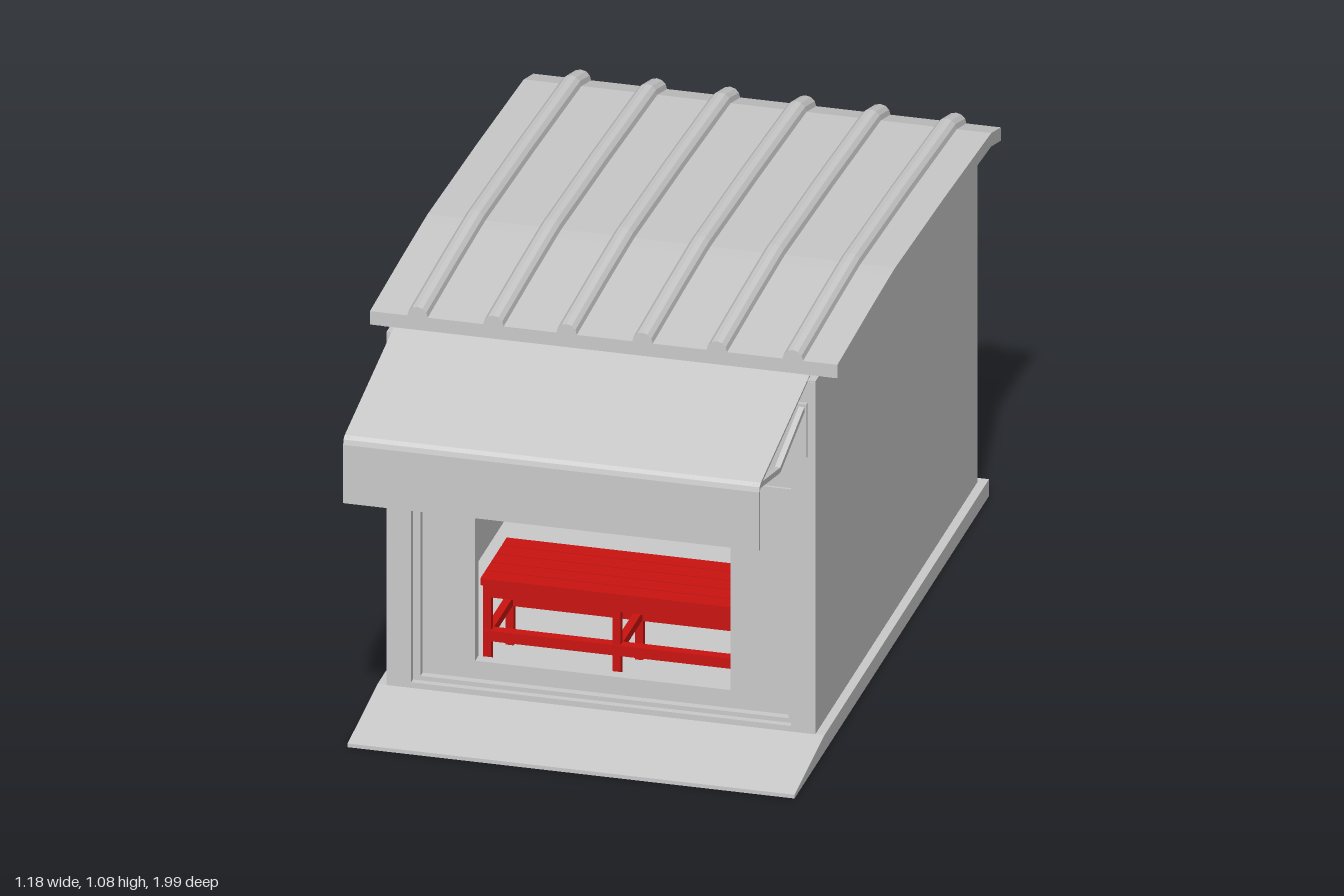
import * as THREE from 'three';

const grey = new THREE.MeshStandardMaterial({ color: 0xcccccc });
const red = new THREE.MeshStandardMaterial({ color: 0xcc1410 });
const corkMat = new THREE.MeshStandardMaterial({ color: 0xb08a2e });

function add(parent, name, geometry, material = grey) {
  const mesh = new THREE.Mesh(geometry, material);
  mesh.name = name;
  parent.add(mesh);
  return mesh;
}

// Box given by its minimum and maximum corners
function block(parent, name, x0, x1, y0, y1, z0, z1, material) {
  const g = new THREE.BoxGeometry(x1 - x0, y1 - y0, z1 - z0);
  g.translate((x0 + x1) / 2, (y0 + y1) / 2, (z0 + z1) / 2);
  return add(parent, name, g, material);
}

// Square bar between two points
function bar(parent, name, a, b, t) {
  const from = new THREE.Vector3(...a), to = new THREE.Vector3(...b);
  const mesh = add(parent, name, new THREE.BoxGeometry(t, t, from.distanceTo(to)));
  mesh.position.copy(from).add(to).multiplyScalar(0.5);
  mesh.lookAt(to);
}

// (z, y) outline extruded across the width from x0 to x1
function sideProfile(points, x0, x1) {
  const shape = new THREE.Shape(points.map(p => new THREE.Vector2(...p)));
  const g = new THREE.ExtrudeGeometry(shape, { depth: x1 - x0, bevelEnabled: false });
  return g.rotateY(-Math.PI / 2).translate(x1, 0, 0);
}

// Flat panel with a rectangular opening; each rectangle is [x0, x1, y0, y1]
function framePanel(parent, name, outer, inner, z0, z1) {
  const corners = ([x0, x1, y0, y1]) =>
    [[x0, y0], [x1, y0], [x1, y1], [x0, y1]].map(p => new THREE.Vector2(...p));
  const shape = new THREE.Shape(corners(outer));
  shape.holes.push(new THREE.Path(corners(inner).reverse()));
  const g = new THREE.ExtrudeGeometry(shape, { depth: z1 - z0, bevelEnabled: false });
  add(parent, name, g.translate(0, 0, z0));
}

// Underside height of the roof along z
function roofHeight(z) {
  const pts = [[-0.99, 0.955], [-0.9, 0.98], [-0.45, 1.003], [0, 1.02], [0.25, 1.012], [0.53, 1.0]];
  for (let i = 1; i < pts.length; i++) {
    const [za, ya] = pts[i - 1], [zb, yb] = pts[i];
    if (z <= zb) return ya + (yb - ya) * (z - za) / (zb - za);
  }
  return 1.0;
}

// Ribbed sheet, extruded along z and bent to the roof curve
function roofGeometry() {
  const t = 0.036, r = 0.026;
  const s = new THREE.Shape();
  s.moveTo(-0.592, 0);
  s.lineTo(0.59, 0);
  s.lineTo(0.59, t);
  for (const x of [0.477, 0.285, 0.097, -0.095, -0.28, -0.472]) {
    for (let i = 0; i <= 6; i++) {
      const a = Math.PI * i / 6;
      s.lineTo(x + r * Math.cos(a), t + r * Math.sin(a));
    }
  }
  s.lineTo(-0.592, t);
  const g = new THREE.ExtrudeGeometry(s, { depth: 1.52, steps: 34, bevelEnabled: false });
  g.translate(0, 0, -0.99);
  const p = g.attributes.position;
  for (let i = 0; i < p.count; i++) p.setY(i, p.getY(i) + roofHeight(p.getZ(i)));
  g.computeVertexNormals();
  return g;
}

// Bottle with a cork, round flask or shouldered jug
function bottle(parent, x, y, z, round, scale = 1) {
  const profile = round
    ? [[0, 0], [0.02, 0], [0.029, 0.012], [0.032, 0.027], [0.027, 0.043], [0.014, 0.056], [0.009, 0.068], [0.008, 0.09], [0.011, 0.092], [0.011, 0.096], [0, 0.096]]
    : [[0, 0], [0.022, 0], [0.027, 0.034], [0.025, 0.04], [0.012, 0.054], [0.009, 0.062], [0.009, 0.08], [0.012, 0.082], [0.012, 0.087], [0, 0.087]];
  const g = new THREE.Group();
  g.name = round ? 'roundBottle' : 'jugBottle';
  add(g, 'glass', new THREE.LatheGeometry(profile.map(p => new THREE.Vector2(...p)), 16), red);
  const top = round ? 0.096 : 0.087;
  add(g, 'cork', new THREE.CylinderGeometry(0.007, 0.006, 0.012, 10), corkMat).position.y = top + 0.003;
  g.position.set(x, y, z);
  g.scale.setScalar(scale);
  parent.add(g);
}

export function createModel() {
  const model = new THREE.Group();
  model.name = 'shopStall';

  // Foundation slab with its entrance ramp
  add(model, 'foundation', sideProfile(
    [[-0.98, 0], [0.83, 0], [0.83, 0.01], [0.55, 0.045], [-0.98, 0.045]], -0.567, 0.563));

  // Walls, lower towards the back
  const wallOutline = [[-0.955, 0.045], [0.55, 0.045], [0.55, 0.995], [-0.955, 0.965]];
  add(model, 'rightWall', sideProfile(wallOutline, -0.545, -0.515));
  add(model, 'leftWall', sideProfile(wallOutline, 0.51, 0.54));
  block(model, 'backWall', -0.515, 0.51, 0.045, 0.965, -0.955, -0.925);

  // Shop front, stepping inwards to the serving window
  const front = new THREE.Group();
  front.name = 'shopFront';
  model.add(front);
  framePanel(front, 'outerFrame', [-0.543, 0.538, 0.045, 0.99], [-0.482, 0.478, 0.06, 0.735], 0.5, 0.552);
  framePanel(front, 'middleFrame', [-0.482, 0.478, 0.046, 0.735], [-0.463, 0.468, 0.072, 0.63], 0.49, 0.535);
  framePanel(front, 'windowWall', [-0.463, 0.468, 0.07, 0.632], [-0.33, 0.315, 0.12, 0.615], 0.485, 0.515);
  block(front, 'lintel', -0.482, 0.478, 0.66, 0.692, 0.53, 0.542);
  block(front, 'windowHeader', -0.33, 0.315, 0.595, 0.615, 0.485, 0.505);

  // Roof and eave beam
  add(model, 'roof', roofGeometry());
  block(model, 'eaveBeam', -0.575, 0.57, 0.973, 1.003, 0.445, 0.475);

  // Awning: thin sloping sheet with a hanging valance
  const awning = new THREE.Group();
  awning.name = 'awning';
  model.add(awning);
  add(awning, 'canopy', sideProfile(
    [[0.53, 1.0], [0.985, 0.915], [0.997, 0.908], [1, 0.895], [1, 0.738], [0.994, 0.738], [0.994, 0.895], [0.98, 0.908], [0.53, 0.994]],
    -0.532, 0.52));
  for (const x of [-0.518, 0.508]) {
    bar(awning, 'innerArm', [x, 0.922, 0.555], [x, 0.858, 0.785], 0.014);
    bar(awning, 'outerArm', [x, 0.858, 0.785], [x, 0.905, 0.993], 0.014);
    block(awning, 'armMount', x - 0.012, x + 0.012, 0.79, 0.935, 0.55, 0.562);
  }

  // Slatted serving table with six legs
  const table = new THREE.Group();
  table.name = 'servingTable';
  model.add(table);
  for (let i = 0; i < 5; i++) {
    const z = 0.222 + i * 0.05;
    block(table, 'topSlat', -0.33, 0.36, 0.302, 0.32, z, z + 0.045, red);
  }
  for (const z of [0.24, 0.45]) {
    block(table, 'apron', -0.325, 0.355, 0.27, 0.301, z - 0.013, z + 0.013, red);
    block(table, 'lowerRail', -0.325, 0.355, 0.152, 0.18, z - 0.013, z + 0.013, red);
    for (const x of [-0.315, 0.012, 0.34]) block(table, 'leg', x - 0.01, x + 0.01, -0.001, 0.3, z - 0.01, z + 0.01, red);
  }
  for (const x of [-0.315, 0.012, 0.34]) {
    block(table, 'crossRail', x - 0.01, x + 0.01, 0.155, 0.177, 0.24, 0.45, red);
    block(table, 'topCrossRail', x - 0.01, x + 0.01, 0.275, 0.3, 0.24, 0.45, red);
  }

  // Bottle rack against the back wall
  const rack = new THREE.Group();
  rack.name = 'bottleRack';
  model.add(rack);
  for (const x of [-0.3, 0.28]) block(rack, 'rackSide', x, x + 0.02, 0.045, 0.525, -0.925, -0.76);
  block(rack, 'rackTop', -0.3, 0.3, 0.51, 0.527, -0.925, -0.76);
  for (const y of [0.18, 0.345]) block(rack, 'shelf', -0.28, 0.28, y - 0.02, y, -0.925, -0.76);
  [-0.235, -0.122, -0.018, 0.095, 0.208].forEach((x, i) =>
    bottle(rack, x, 0.345, -0.83, i < 2 || i > 3, 1));
  [-0.245, -0.175, -0.098, -0.026, 0.043, 0.138, 0.225].forEach((x, i) =>
    bottle(rack, x, 0.18, -0.83, [1, 4, 6].includes(i), 0.9));

  return model;
}
